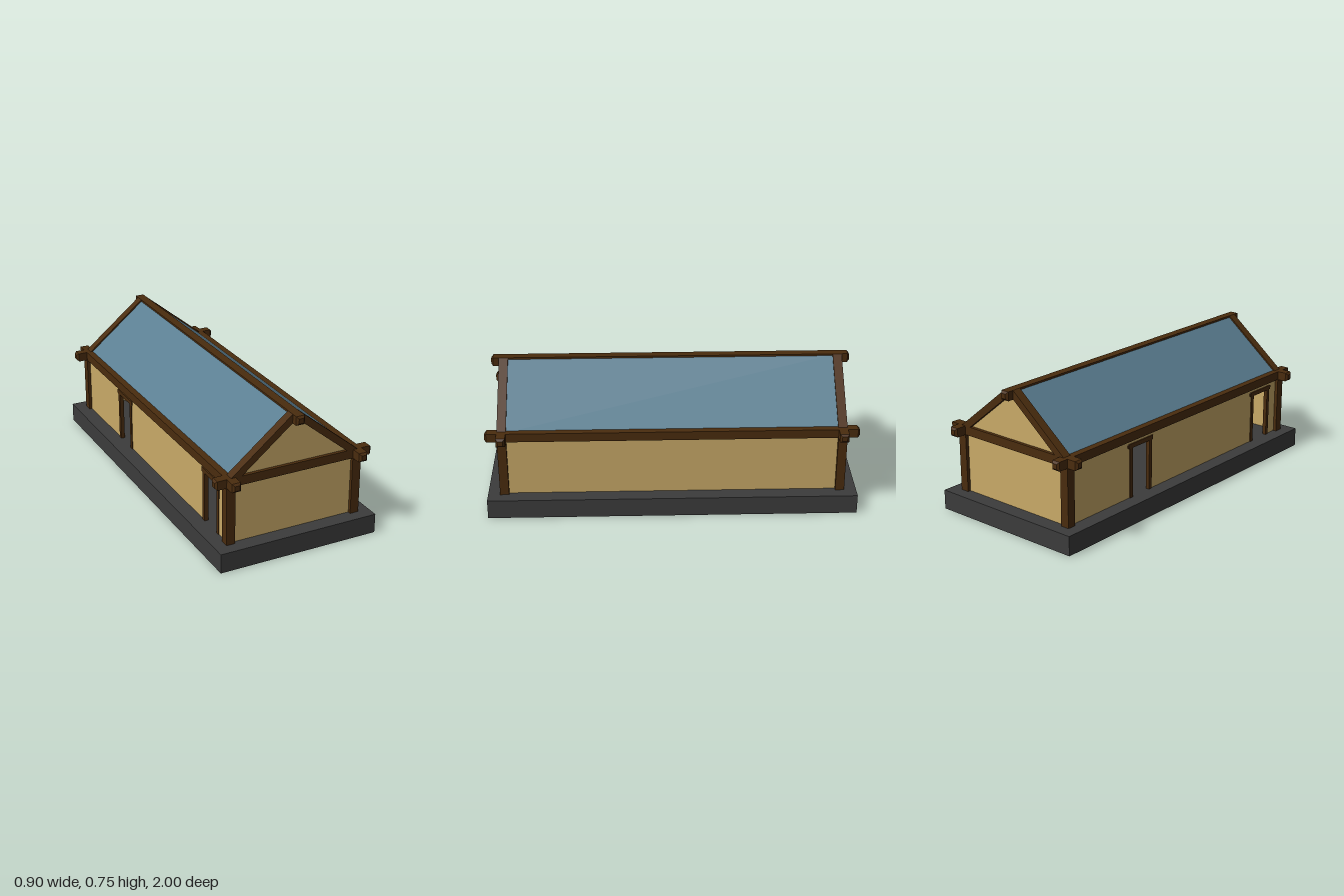
import * as THREE from 'three';

const material = (name, color) => {
  const m = new THREE.MeshStandardMaterial({ color });
  m.name = name;
  return m;
};

export function createModel() {
  const stone = material('dark stone', 0x3c3c3c);
  const timber = material('brown timber', 0x4a2c0e);
  const plaster = material('tan plaster', 0xc9aa68);
  const roofing = material('blue roofing', 0x5a7e91);

  const model = new THREE.Group();
  model.name = 'longhouse';

  const add = (name, geometry, mat, x = 0, y = 0, z = 0) => {
    const mesh = new THREE.Mesh(geometry, mat);
    mesh.name = name;
    mesh.position.set(x, y, z);
    model.add(mesh);
    return mesh;
  };
  const box = (name, mat, w, h, d, x, y, z) =>
    add(name, new THREE.BoxGeometry(w, h, d), mat, x, y, z);

  // Square beam along z whose ends taper to a smaller square
  const beamGeometry = (width, length, taper) => {
    const g = new THREE.BoxGeometry(width, width, length, 1, 1, 3);
    const p = g.attributes.position;
    for (let i = 0; i < p.count; i++) {
      const z = p.getZ(i);
      if (Math.abs(z) > length * 0.4) {
        const k = 1 - (2 * taper) / width;
        p.setX(i, p.getX(i) * k);
        p.setY(i, p.getY(i) * k);
      } else {
        p.setZ(i, Math.sign(z) * (length / 2 - taper));
      }
    }
    const flat = g.toNonIndexed();
    flat.computeVertexNormals();
    return flat;
  };

  // Flat outline given thickness, centred on z = 0
  const plate = (points, depth) => {
    const shape = new THREE.Shape(points.map(([x, y]) => new THREE.Vector2(x, y)));
    return new THREE.ExtrudeGeometry(shape, { depth, bevelEnabled: false })
      .translate(0, 0, -depth / 2);
  };

  const floor = 0.107;
  const beamY = 0.455;
  const ridgeY = 0.73;
  const postX = 0.363;
  const postZ = 0.91;
  const size = 0.049;
  const half = size / 2;
  const wall = 0.012;

  // Foundation
  box('foundation', stone, 0.904, floor, 2, 0, floor / 2, 0);

  // Corner posts and the long eave beams
  for (const sx of [-1, 1]) {
    for (const sz of [-1, 1]) {
      box('cornerPost', timber, size, beamY - floor, size,
        sx * postX, (beamY + floor) / 2, sz * postZ);
    }
    add('eaveBeam', beamGeometry(size, 2, 0.011), timber, sx * postX, beamY, 0);
  }
  add('ridgeBeam', beamGeometry(size, 1.956, 0.011), timber, 0, ridgeY, 0);

  // Tie beams, gable walls and rafters at both ends
  const gable = [
    [-postX, floor], [postX, floor], [postX, beamY], [0, 0.745], [-postX, beamY],
  ];
  for (const sz of [-1, 1]) {
    add('tieBeam', beamGeometry(size, 0.9, 0.011), timber, 0, beamY, sz * postZ)
      .rotation.y = Math.PI / 2;
    add('gableWall', plate(gable, wall), plaster, 0, 0, sz * postZ);
    for (const sx of [-1, 1]) {
      const rafter = [
        [sx * postX, beamY - half], [sx * postX, beamY + half],
        [sx * half, ridgeY + half], [sx * half, ridgeY - half],
      ];
      add('rafter', plate(rafter, size), timber, 0, 0, sz * postZ);
    }
  }

  // Roof slopes, slightly below the rafter tops
  for (const sx of [-1, 1]) {
    const slope = [
      [sx * postX, 0.469], [sx * 0.015, 0.752],
      [sx * 0.015, 0.735], [sx * postX, 0.452],
    ];
    add('roofSlope', plate(slope, postZ * 2), roofing);
  }

  // Plain long wall on one side
  box('sideWall', plaster, wall, beamY - floor, postZ * 2, postX, (beamY + floor) / 2, 0);

  // Long wall with two doorways on the other side
  const doors = [-0.355, 0.73];
  const doorHalf = 0.078;
  const doorTop = 0.397;
  const outline = [[-postZ, floor]];
  for (const z of doors) {
    outline.push([z - doorHalf, floor], [z - doorHalf, doorTop],
      [z + doorHalf, doorTop], [z + doorHalf, floor]);
  }
  outline.push([postZ, floor], [postZ, beamY], [-postZ, beamY]);
  add('doorwayWall', plate(outline, wall).rotateY(-Math.PI / 2), plaster, -postX, 0, 0);

  // Door frames
  for (const z of doors) {
    for (const s of [-1, 1]) {
      box('doorPost', timber, 0.022, doorTop - floor, 0.022,
        -postX, (doorTop + floor) / 2, z + s * doorHalf);
    }
    add('doorLintel', beamGeometry(0.024, 0.205, 0.005), timber, -postX, doorTop, z);
  }

  return model;
}
